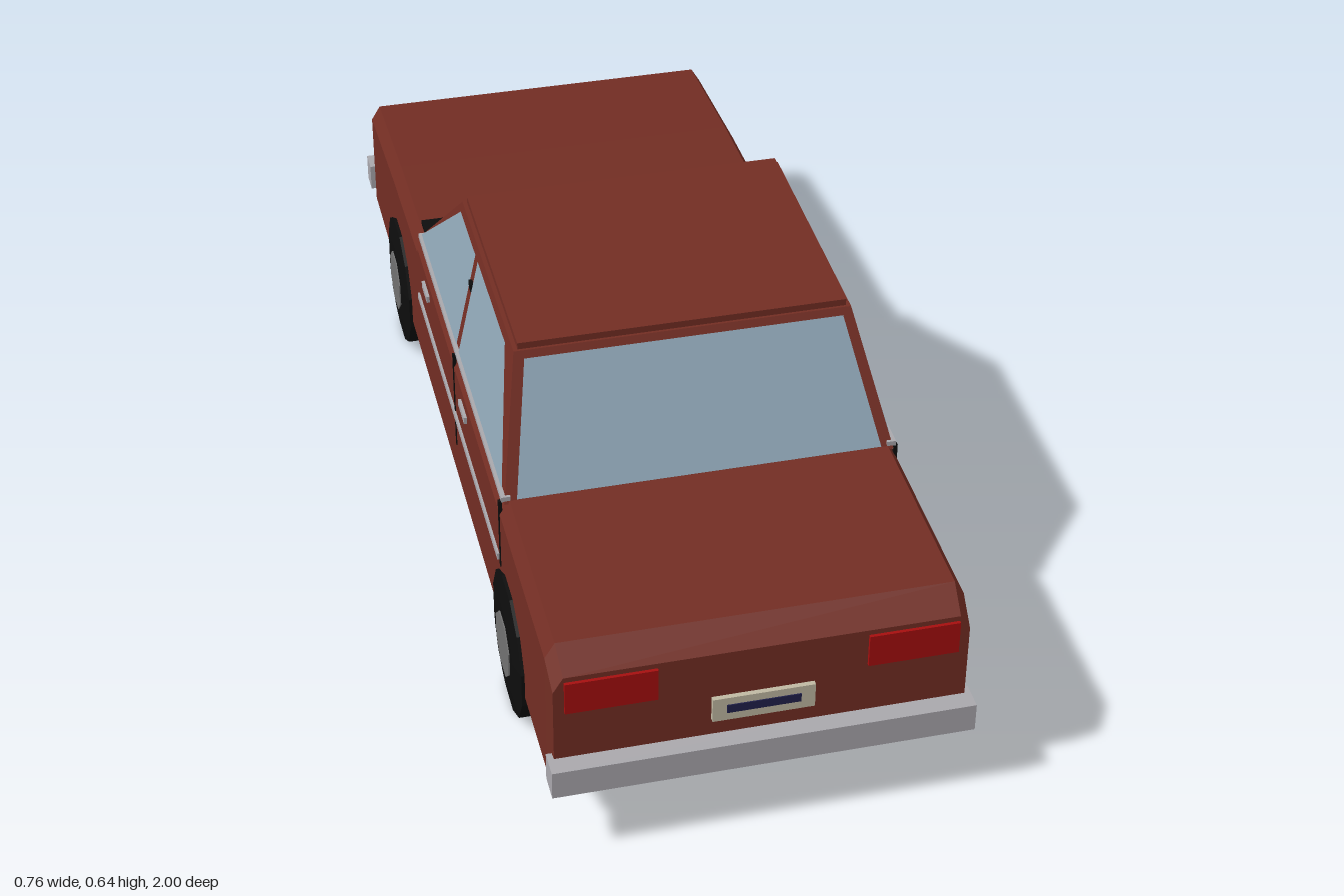
import * as THREE from 'three';

const mat = (name, color, opts = {}) => {
  const m = new THREE.MeshStandardMaterial({ color, flatShading: true, ...opts });
  m.name = name;
  return m;
};

export function createModel() {
  const car = new THREE.Group();
  car.name = 'sedan';
  const paint = mat('paint', 0x722d23);
  const glass = mat('glass', 0x8fa6b6, { side: THREE.DoubleSide });
  const chrome = mat('chrome', 0xa9a7ac);
  const black = mat('black', 0x0d0d0d);
  const hubGrey = mat('hubGrey', 0x707070);
  const lampRed = mat('lampRed', 0xa50e0e);
  const cream = mat('cream', 0xbfb8a2);
  const navy = mat('navy', 0x20204a);

  const add = (name, geometry, material) => {
    const m = new THREE.Mesh(geometry, material);
    m.name = name;
    car.add(m);
    return m;
  };
  // Box given by its extents on each axis
  const box = (name, material, [x0, x1], [y0, y1], [z0, z1]) => {
    const g = new THREE.BoxGeometry(x1 - x0, y1 - y0, z1 - z0);
    g.translate((x0 + x1) / 2, (y0 + y1) / 2, (z0 + z1) / 2);
    return add(name, g, material);
  };
  const mirrored = (name, material, [x0, x1], y, z) => {
    box(name + 'Left', material, [x0, x1], y, z);
    box(name + 'Right', material, [-x1, -x0], y, z);
  };
  // Skin over rings of points running from rear to front, capped at both ends
  const loft = (rings) => {
    const n = rings[0].length;
    const idx = [];
    for (let s = 0; s < rings.length - 1; s++) {
      for (let j = 0; j < n; j++) {
        const a = s * n + j, c = s * n + (j + 1) % n;
        idx.push(a, a + n, c, c, a + n, c + n);
      }
    }
    const last = (rings.length - 1) * n;
    for (let j = 1; j < n - 1; j++) {
      idx.push(0, j, j + 1, last, last + j + 1, last + j);
    }
    const g = new THREE.BufferGeometry();
    g.setAttribute('position', new THREE.Float32BufferAttribute(rings.flat(2), 3));
    g.setIndex(idx);
    const flat = g.toNonIndexed();
    flat.computeVertexNormals();
    return flat;
  };
  const quad = (name, material, pts) => {
    const g = new THREE.BufferGeometry();
    g.setAttribute('position', new THREE.Float32BufferAttribute(pts.flat(), 3));
    g.setIndex([0, 1, 2, 0, 2, 3]);
    g.computeVertexNormals();
    return add(name, g, material);
  };

  // Lower body: z, bottom, top, half width
  const sections = [
    [0.965, 0.14, 0.365, 0.362], [0.915, 0.115, 0.4, 0.365],
    [0.53, 0.11, 0.4, 0.365], [-0.33, 0.11, 0.4, 0.365],
    [-0.34, 0.11, 0.388, 0.365], [-0.636, 0.11, 0.374, 0.365],
    [-0.93, 0.115, 0.347, 0.365], [-0.952, 0.13, 0.326, 0.362],
  ];
  add('body', loft(sections.map(([z, b, t, w]) => [
    [w, b, z], [w, t - 0.03, z], [w - 0.018, t, z],
    [-w + 0.018, t, z], [-w, t - 0.03, z], [-w, b, z],
  ])), paint);
  box('underbody', black, [-0.345, 0.345], [0.08, 0.112], [-0.825, 0.88]);

  // Cabin with sloping pillars, and the roof panel
  const cabinRing = (zb, zt) => [
    [0.357, 0.395, zb], [0.308, 0.622, zt], [-0.308, 0.622, zt], [-0.357, 0.395, zb],
  ];
  add('cabin', loft([cabinRing(0.533, 0.395), cabinRing(-0.34, -0.1)]), paint);
  box('roof', paint, [-0.3, 0.3], [0.612, 0.635], [-0.095, 0.39]);

  // Glass panes lie just outside the cabin faces
  const rearZ = (y) => 0.533 - (y - 0.395) * 0.608 + 0.003;
  const frontZ = (y) => -0.34 + (y - 0.395) * 1.057 - 0.003;
  const sideX = (y) => 0.357 - (y - 0.395) * 0.216 + 0.003;
  const endPane = (name, material, zAt, [y0, y1], [a0, b0], [a1, b1], lift = 0) =>
    quad(name, material, [
      [a0, y0, zAt(y0) + lift], [b0, y0, zAt(y0) + lift],
      [b1, y1, zAt(y1) + lift], [a1, y1, zAt(y1) + lift],
    ]);
  endPane('rearWindow', glass, rearZ, [0.402, 0.611], [-0.334, 0.334], [-0.291, 0.291]);
  endPane('windshield', glass, frontZ, [0.402, 0.611], [-0.338, 0.338], [-0.291, 0.291]);
  for (const s of [-1, 1]) {
    const pane = (name, b0, b1, t1, t0) => quad(name, glass, [
      [s * sideX(0.411), 0.411, b0], [s * sideX(0.411), 0.411, b1],
      [s * sideX(0.608), 0.608, t1], [s * sideX(0.608), 0.608, t0],
    ]);
    pane('rearSideWindow', 0.508, 0.085, 0.085, 0.345);
    pane('frontSideWindow', 0.062, -0.322, -0.088, 0.062);
  }

  // Mirror and visor lines at the top of the windshield
  const darkThin = mat('black', 0x0d0d0d, { side: THREE.DoubleSide });
  endPane('mirror', darkThin, frontZ, [0.566, 0.571], [-0.045, 0.045], [-0.045, 0.045], -0.003);
  endPane('mirrorStem', darkThin, frontZ, [0.58, 0.587], [-0.006, 0.006], [-0.006, 0.006], -0.003);
  for (const s of [-1, 1]) {
    endPane('visorLine', darkThin, frontZ, [0.592, 0.595], [s * 0.04, s * 0.24], [s * 0.04, s * 0.24], -0.003);
  }
  box('cowl', black, [-0.345, 0.345], [0.375, 0.396], [-0.395, -0.338]);

  // Side trim, door seams and handles
  mirrored('beltTrim', chrome, [0.345, 0.362], [0.399, 0.409], [-0.33, 0.53]);
  mirrored('sideTrim', chrome, [0.36, 0.369], [0.253, 0.267], [-0.33, 0.51]);
  mirrored('rearHandle', chrome, [0.36, 0.371], [0.332, 0.346], [0.145, 0.205]);
  mirrored('frontHandle', chrome, [0.36, 0.371], [0.332, 0.346], [-0.255, -0.198]);
  mirrored('doorSeam', black, [0.36, 0.3665], [0.185, 0.398], [0.069, 0.076]);
  mirrored('rearDoorSeam', black, [0.36, 0.3665], [0.25, 0.398], [0.519, 0.527]);
  mirrored('pillarLatch', black, [0.315, 0.329], [0.54, 0.557], [0.065, 0.083]);

  // Bumpers
  box('rearBumper', chrome, [-0.373, 0.373], [0.131, 0.187], [0.95, 1]);
  box('frontBumper', chrome, [-0.373, 0.373], [0.131, 0.187], [-0.992, -0.945]);

  // Rear lamps and plate
  mirrored('tailLamp', lampRed, [0.183, 0.343], [0.29, 0.355], [0.963, 0.971]);
  box('rearPlate', cream, [-0.09, 0.09], [0.223, 0.272], [0.966, 0.975]);
  box('rearPlateStrip', navy, [-0.065, 0.065], [0.24, 0.257], [0.974, 0.977]);

  // Grille, headlamps and front plate
  box('grille', black, [-0.168, 0.168], [0.208, 0.302], [-0.959, -0.951]);
  for (let i = 0; i < 6; i++) {
    const x = -0.14 + i * 0.056;
    box('grilleBar', chrome, [x - 0.003, x + 0.003], [0.21, 0.3], [-0.962, -0.957]);
  }
  mirrored('headlampFrame', chrome, [0.187, 0.315], [0.218, 0.3], [-0.957, -0.95]);
  mirrored('headlamp', cream, [0.192, 0.31], [0.223, 0.295], [-0.96, -0.954]);
  box('frontPlate', cream, [-0.088, 0.088], [0.138, 0.182], [-0.998, -0.99]);
  box('frontPlateStrip', navy, [-0.064, 0.064], [0.151, 0.168], [-1, -0.996]);

  // Wheels: twelve-sided tyres with bulged walls and eight-sided hubs
  const tyreProfile = [[0, -0.046], [0.085, -0.046], [0.1346, -0.039], [0.1346, 0.039], [0.085, 0.046], [0, 0.046]]
    .map(([r, h]) => new THREE.Vector2(r, h));
  const tyre = new THREE.LatheGeometry(tyreProfile, 12).rotateY(Math.PI / 12).rotateZ(Math.PI / 2);
  const hub = new THREE.CylinderGeometry(0.063, 0.063, 0.01, 8).rotateY(Math.PI / 8).rotateZ(Math.PI / 2);
  for (const z of [0.597, -0.583]) {
    for (const s of [-1, 1]) {
      add('tyre', tyre, black).position.set(s * 0.332, 0.13, z);
      add('hub', hub, hubGrey).position.set(s * 0.3755, 0.13, z);
    }
  }
  return car;
}
